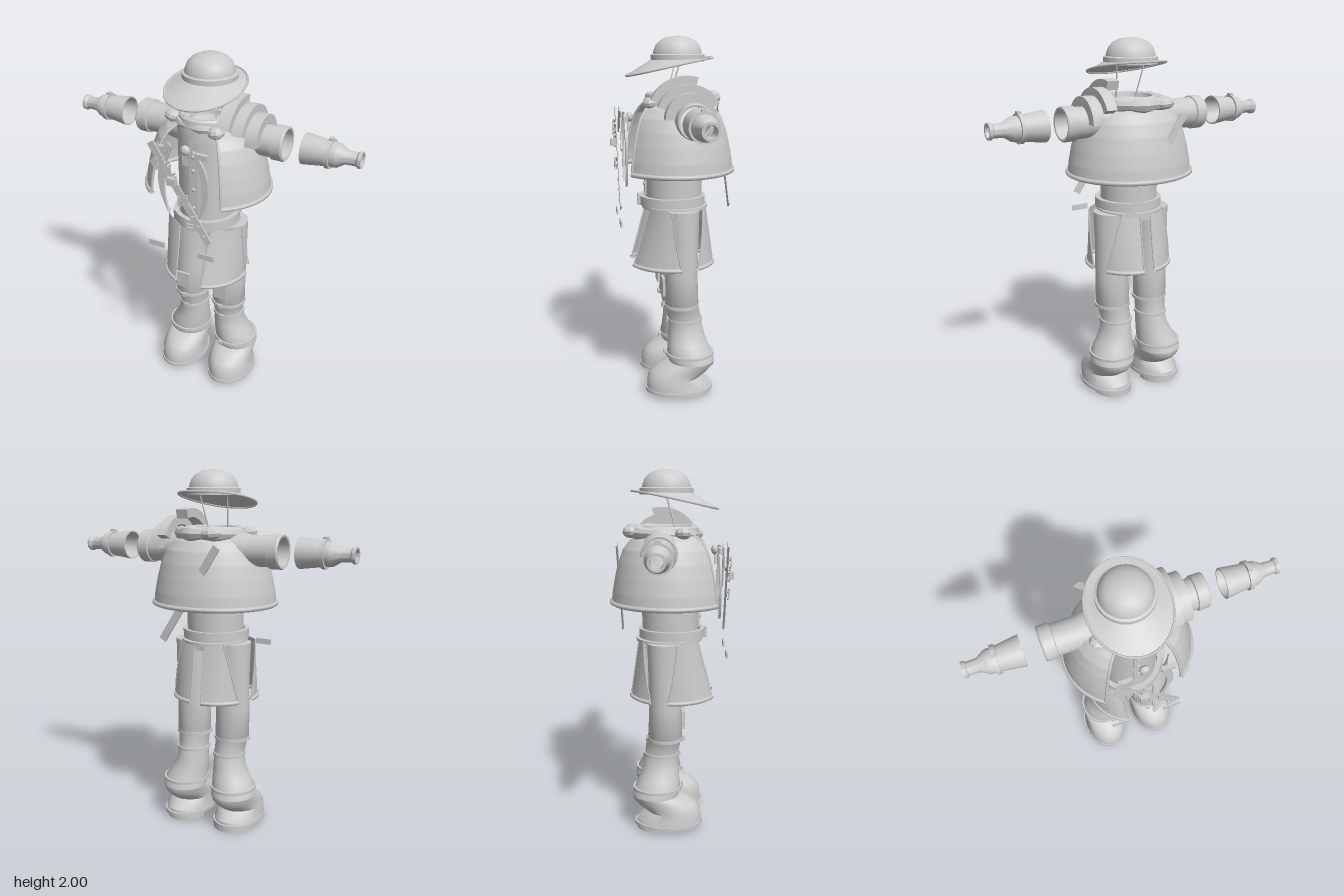
import * as THREE from 'three';
import { toCreasedNormals } from 'three/addons/utils/BufferGeometryUtils.js';
import { ParametricGeometry } from 'three/addons/geometries/ParametricGeometry.js';

const grey = new THREE.MeshStandardMaterial({ color: 0xcccccc, side: THREE.DoubleSide });
grey.name = 'plainGrey';
const { sin, cos, PI } = Math;
const V2 = (p) => new THREE.Vector2(p[0], p[1]);
const V3 = (x, y, z) => new THREE.Vector3(x, y, z);
const rad = (d) => d * PI / 180;
const mix = THREE.MathUtils.lerp;

export function createModel() {
  const model = new THREE.Group();
  model.name = 'explorerOutfit';

  const add = (name, geo, x = 0, y = 0, z = 0) => {
    const m = new THREE.Mesh(geo, grey);
    m.name = name;
    m.position.set(x, y, z);
    model.add(m);
    return m;
  };
  const box = (name, w, h, d, x, y, z) => add(name, new THREE.BoxGeometry(w, h, d), x, y, z);
  const lathe = (pts, seg = 36) => toCreasedNormals(new THREE.LatheGeometry(pts.map(V2), seg), 0.6);
  const surface = (fn, nu, nv) => new ParametricGeometry((u, v, t) => t.copy(fn(u, v)), nu, nv);
  const trim = (name, fn, r, n = 48, closed = false) => {
    const pts = Array.from({ length: n + (closed ? 0 : 1) }, (_, i) => fn(i / n));
    return add(name, new THREE.TubeGeometry(new THREE.CatmullRomCurve3(pts, closed), n * 2, r, 6, closed));
  };
  // Elliptical sections [y, cx, cz, rx, rz] joined into a skin
  const loft = (rows, n = 32) => {
    const pos = [], idx = [];
    rows.forEach(([y, cx, cz, rx, rz], j) => {
      for (let i = 0; i < n; i++) {
        const a = i / n * 2 * PI;
        pos.push(cx + rx * sin(a), y, cz + rz * cos(a));
        if (j === rows.length - 1) continue;
        const p = j * n + i, q = j * n + (i + 1) % n;
        idx.push(p, p + n, q, q, p + n, q + n);
      }
    });
    const g = new THREE.BufferGeometry();
    g.setAttribute('position', new THREE.Float32BufferAttribute(pos, 3));
    g.setIndex(idx);
    return toCreasedNormals(g, 0.7);
  };
  // Flat bar between two points in the front plane
  const bar = (name, [x1, y1], [x2, y2], w, z) => {
    const m = box(name, w, Math.hypot(x2 - x1, y2 - y1), 0.008, (x1 + x2) / 2, (y1 + y2) / 2, z);
    m.rotation.z = Math.atan2(x1 - x2, y2 - y1);
    return m;
  };

  // Hat
  add('hatCrown', lathe([[0.145, 1.865], [0.145, 1.9], [0.132, 1.905], [0.13, 1.92], [0.118, 1.95],
    [0.095, 1.975], [0.06, 1.992], [0, 2]]), 0, 0, -0.03);
  const brim = (u, v) => {
    const a = u * 2 * PI, f = (1 + cos(a)) / 2;
    const outer = V3(0.205 * sin(a), 1.885 - 0.095 * f ** 1.3, 0.015 + 0.235 * cos(a));
    return V3(0.135 * sin(a), 1.88, -0.03 + 0.135 * cos(a)).lerp(outer, v);
  };
  add('hatBrim', surface(brim, 48, 4));
  trim('hatBrimEdge', (u) => brim(u, 1), 0.006, 40, true);
  for (const s of [-1, 1])
    trim('chinStrap', (t) => V3(s * mix(0.085, 0.06, t), mix(1.86, 1.68, t), mix(-0.03, 0.02, t)), 0.004, 4);

  // Coat body, stepped neck and belt
  add('coatBody', lathe([[0.155, 1.07], [0.16, 1.3], [0.162, 1.55], [0.165, 1.63], [0.155, 1.69], [0.145, 1.7],
    [0.125, 1.695], [0.12, 1.67], [0.1, 1.665], [0.095, 1.64], [0.07, 1.63], [0, 1.62]]), 0, 0, -0.01);
  add('coatHem', lathe([[0.165, 1.065], [0.185, 1.065], [0.185, 1.08], [0.16, 1.08]]), 0, 0, -0.015);
  add('belt', lathe([[0.16, 1.085], [0.185, 1.085], [0.185, 1.135], [0.16, 1.135], [0.16, 1.085]]), 0, 0, 0);
  for (const [w, h, x, y] of [[0.06, 0.012, 0, 1.135], [0.06, 0.012, 0, 1.088], [0.012, 0.05, -0.027, 1.11],
    [0.012, 0.05, 0.027, 1.11], [0.035, 0.01, 0, 1.11]]) box('beltBuckle', w, h, 0.014, x, y, 0.188);
  box('coatPlacket', 0.05, 0.44, 0.008, 0, 1.36, 0.15);
  for (const y of [1.2, 1.31, 1.42, 1.5]) {
    add('coatButton', new THREE.SphereGeometry(0.012, 12, 8), 0, y, 0.156).scale.z = 0.6;
  }
  add('clasp', new THREE.SphereGeometry(0.028, 16, 10), 0, 1.57, 0.235).scale.z = 0.7;
  box('claspTab', 0.03, 0.06, 0.008, 0, 1.52, 0.24);

  // Open-fronted cape
  const capeRows = [[1.285, 1], [1.34, 0.985], [1.42, 0.94], [1.5, 0.88], [1.57, 0.8], [1.62, 0.68], [1.655, 0.5], [1.665, 0.42]];
  const cape = (u, v) => {
    const a = rad(mix(37, 323, u)), k = v * (capeRows.length - 1), i = Math.min(Math.floor(k), capeRows.length - 2);
    const [y, r] = [0, 1].map((c) => mix(capeRows[i][c], capeRows[i + 1][c], k - i));
    return V3(0.345 * r * sin(a), y, -0.015 + 0.32 * r * cos(a));
  };
  add('cape', surface(cape, 48, 28));
  trim('capeHem', (u) => cape(u, 0), 0.013);
  for (const u of [0, 1]) trim('capeFrontEdge', (v) => cape(u, v), 0.008, 20);

  // Lumpy rolled collar
  const roll = (u, v) => {
    const a = u * 2 * PI, b = v * 2 * PI, back = (1 - cos(a)) / 2;
    const r = 0.022 + 0.014 * back + 0.006 * sin(a * 7);
    const k = r * cos(b);
    return V3((0.165 + k) * sin(a), 1.655 + 0.015 * back + r * sin(b), -0.045 + (0.18 + k) * cos(a));
  };
  add('collarRoll', toCreasedNormals(surface(roll, 32, 8), 0.5));
  for (const [x, y, z, sx] of [[-0.165, 1.665, 0.06, 0.055], [0.12, 1.65, 0.13, 0.045], [-0.09, 1.67, -0.22, 0.06]]) {
    const knot = add('collarFold', toCreasedNormals(new THREE.SphereGeometry(1, 9, 6), 0.3), x, y, z);
    knot.scale.set(sx, 0.033, 0.045);
    knot.rotation.z = x;
  }

  // Hollow sleeves and gauntlets, lathed along the arm axis
  const sleeve = [[0.1, 0.16], [0.083, 0.25], [0.083, 0.365], [0.092, 0.368], [0.092, 0.425], [0.087, 0.432],
    [0.076, 0.43], [0.074, 0.2]];
  const gauntlet = [[0.072, 0.56], [0.074, 0.525], [0.081, 0.525], [0.081, 0.535], [0.065, 0.655], [0.064, 0.69],
    [0.062, 0.705], [0.037, 0.745], [0.035, 0.8], [0.043, 0.81], [0.043, 0.825], [0.032, 0.825], [0.03, 0.745],
    [0.055, 0.7], [0.072, 0.56]];
  const armBand = [[0.06, 0.65], [0.076, 0.65], [0.076, 0.672], [0.06, 0.672]];
  for (const s of [-1, 1]) {
    for (const [name, pts] of [['sleeve', sleeve], ['gauntlet', gauntlet], ['gauntletBand', armBand]])
      add(name, lathe(pts, 32).rotateZ(-s * PI / 2), 0, 1.58, -0.058);
    box('gauntletBuckle', 0.022, 0.016, 0.03, s * 0.661, 1.658, -0.058);
  }

  // Layered guard arching over the left shoulder
  const arch = (x0, x1, rOut, rIn, a0, a1) => {
    const sh = new THREE.Shape();
    sh.absarc(0, 0, rOut, rad(a0), rad(a1), false);
    sh.absarc(0, 0, rIn, rad(a1), rad(a0), true);
    const g = new THREE.ExtrudeGeometry(sh, { depth: x1 - x0, bevelEnabled: false, curveSegments: 8 });
    add('shoulderGuard', toCreasedNormals(g.rotateY(PI / 2), 0.3), x0, 1.58, -0.058);
  };
  arch(0.12, 0.19, 0.215, 0.165, 75, 155);
  arch(0.19, 0.25, 0.175, 0.125, 25, 160);
  arch(0.25, 0.315, 0.135, 0.085, 0, 180);

  // Chest and back straps with buckles
  bar('frontStrap', [-0.165, 1.61], [0.17, 1.1], 0.042, 0.3);
  bar('backStrap', [-0.165, 1.61], [0.17, 1.1], 0.042, -0.29);
  bar('crossStrap', [-0.06, 1.61], [-0.17, 1.48], 0.035, 0.285);
  bar('hangingStrap', [-0.15, 1.6], [-0.07, 1.38], 0.03, 0.275);
  for (const [x, y, w] of [[0.03, 1.32, 0.05], [-0.035, 1.43, 0.045], [-0.1, 1.51, 0.04], [-0.06, 1.49, 0.035]]) {
    for (const k of [-1, 1]) {
      bar('strapBuckle', [x - w / 2, y - 0.02 * k - 0.008], [x + w / 2, y - 0.02 * k + 0.022], 0.01, 0.312);
      bar('strapBuckle', [x + k * w / 2, y - 0.025], [x + k * w / 2, y + 0.03], 0.01, 0.318);
    }
  }
  for (const [x, y] of [[0.08, 1.24], [0.11, 1.19], [0.145, 1.14]]) box('strapStud', 0.014, 0.014, 0.016, x, y, 0.305);
  box('strapPouch', 0.05, 0.04, 0.03, -0.03, 1.43, 0.325);

  for (const s of [-1, 1]) {
    // Curved pointed lapel
    const lapel = new THREE.Shape();
    lapel.moveTo(s * 0.06, 1.59);
    lapel.quadraticCurveTo(s * 0.22, 1.44, s * 0.085, 1.2);
    lapel.quadraticCurveTo(s * 0.15, 1.4, s * 0.06, 1.59);
    add('lapel', new THREE.ExtrudeGeometry(lapel, { depth: 0.014, bevelEnabled: false }), 0, 0, 0.255);
    box('lapelClip', 0.07, 0.03, 0.022, s * 0.11, 1.57, 0.265);
    box('pocketFlap', 0.095, 0.032, 0.008, s * 0.15, 1.012, 0.3);

    // Coat tails: front panel, then back panel with a centre vent
    const tail = (topA, hemA, zTop, zHem, name) => {
      const fn = (u, v) => {
        const a = rad(mix(mix(hemA[0], hemA[1], u), mix(topA[0], topA[1], u), v));
        return V3(s * 0.235 * sin(a), mix(0.75, 1.075, v), mix(zHem, zTop, v) * cos(a));
      };
      add(name, surface(fn, 14, 8));
      trim(name + 'Hem', (u) => fn(u, 0), 0.012, 14);
      for (const u of [0, 1]) trim(name + 'Edge', (v) => fn(u, v), 0.005, 6);
    };
    tail([24, 78], [20, 95], 0.15, 0.24, 'frontTail');
    tail([146, 172], [120, 172], 0.185, 0.232, 'backTail');

    // Trouser leg and flared cuff
    add('leg', loft([[0.2, 0.16, -0.09, 0.125, 0.13], [0.24, 0.158, -0.08, 0.122, 0.13], [0.3, 0.138, -0.07, 0.105, 0.112],
      [0.36, 0.122, -0.062, 0.09, 0.1], [0.43, 0.118, -0.058, 0.084, 0.094], [0.52, 0.124, -0.038, 0.09, 0.092],
      [0.53, 0.125, -0.037, 0.096, 0.096], [0.7, 0.127, -0.036, 0.096, 0.09], [0.9, 0.127, -0.04, 0.097, 0.09],
      [1.07, 0.127, -0.035, 0.1, 0.1], [1.075, 0.127, -0.035, 0, 0]].map(([y, x, ...r]) => [y, s * x, ...r])));
    // Leg bands with front buckles
    for (const [y, x, z, rx, rz] of [[0.52, 0.124, -0.035, 0.102, 0.1], [0.43, 0.118, -0.058, 0.093, 0.1], [0.24, 0.157, -0.08, 0.128, 0.138]]) {
      add('legBand', loft([[-0.008, 0.9], [-0.008, 1], [0.008, 1], [0.008, 0.9]].map(([h, k]) => [y + h, s * x, z, rx * k, rz * k])));
      box('legBuckle', 0.025, 0.026, 0.014, s * 0.122, y, z + rz);
    }
    box('kneePatch', 0.085, 0.1, 0.014, s * 0.124, 0.635, 0.068);

    // Boot, welt and heel
    add('boot', loft([[0.03, 0.165, -0.015, 0, 0], [0.03, 0.165, -0.015, 0.132, 0.185], [0.06, 0.164, -0.015, 0.13, 0.182],
      [0.11, 0.162, 0.01, 0.124, 0.152], [0.145, 0.16, -0.025, 0.122, 0.165], [0.175, 0.16, -0.06, 0.124, 0.158],
      [0.2, 0.16, -0.09, 0.125, 0.13]].map(([y, x, ...r]) => [y, s * x, ...r])));
    add('bootWelt', loft([[0.028, 0.9], [0.028, 1], [0.046, 1], [0.046, 0.9]].map(([y, k]) => [y, s * 0.165, -0.018, 0.136 * k, 0.192 * k])));
    const heel = new THREE.Shape();
    heel.moveTo(-0.11, 0.07);
    heel.bezierCurveTo(-0.11, 0.24, 0.11, 0.24, 0.11, 0.07);
    add('bootHeel', new THREE.ExtrudeGeometry(heel, { depth: 0.032, bevelEnabled: false }).rotateX(-PI / 2), s * 0.155, 0, 0);
  }
  box('ventBridge', 0.07, 0.04, 0.008, 0, 1.055, -0.183);

  return model;
}
